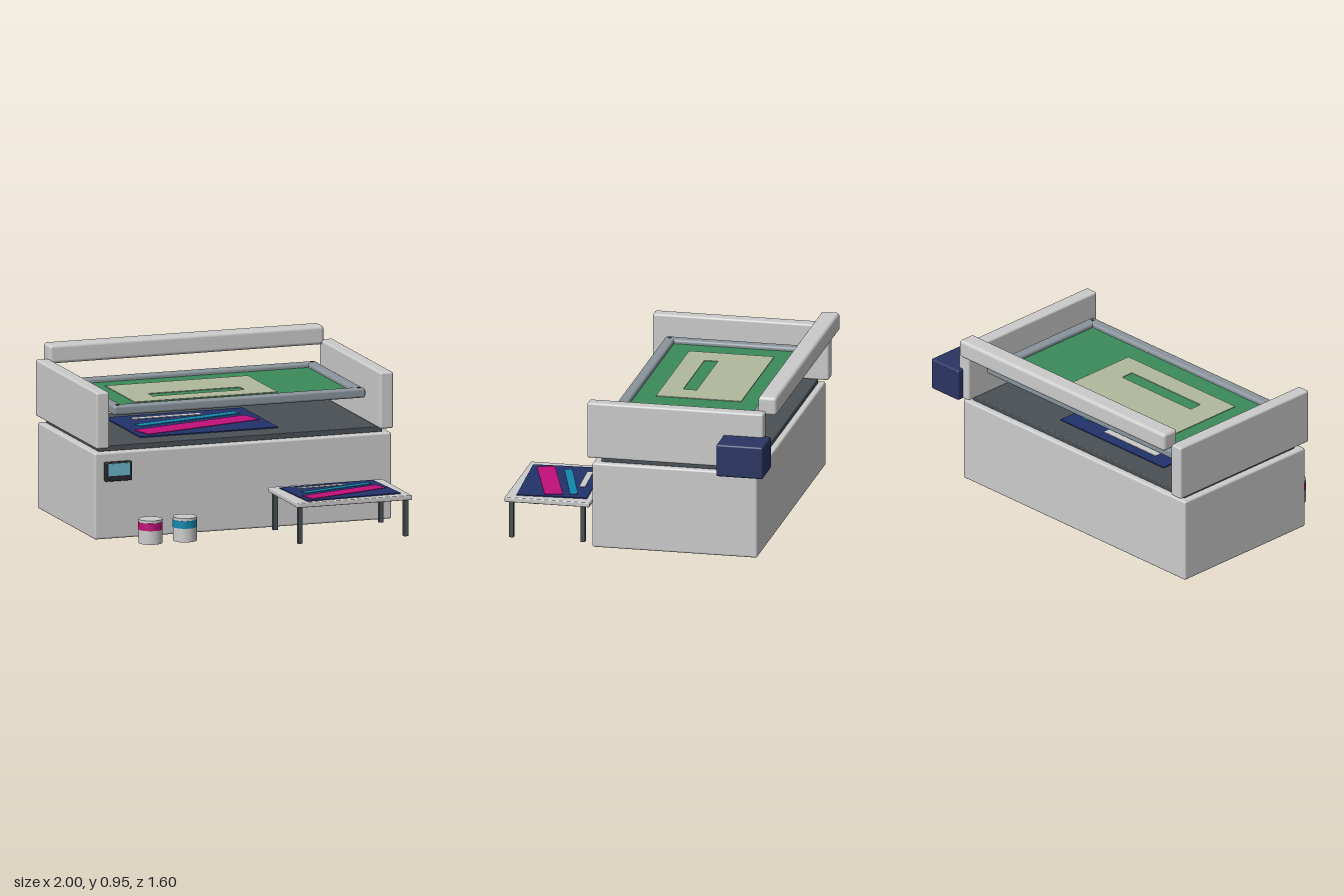
import * as THREE from 'three';
import { RoundedBoxGeometry } from 'three/addons/geometries/RoundedBoxGeometry.js';

const mat = (color) => new THREE.MeshStandardMaterial({ color });
const GREY = mat(0xcccccc), DARK = mat(0x4a5055), FRAME = mat(0x8a949b), BLACK = mat(0x22272b);
const NAVY = mat(0x2a3563), CLOTH = mat(0x22336b), GREEN = mat(0x3a8a5a), STENCIL = mat(0xb0b99c);
const MAGENTA = mat(0xc0107a), CYAN = mat(0x1288ae), WHITE = mat(0xe4e4e4);
const SCREEN = mat(0x6ab4c8), RED = mat(0xc03a28), ORANGE = mat(0xd08a30);

function add(parent, name, geometry, material, x = 0, y = 0, z = 0) {
  const mesh = new THREE.Mesh(geometry, material);
  mesh.name = name;
  mesh.position.set(x, y, z);
  parent.add(mesh);
  return mesh;
}

// Box given by its extents on each axis, with optional rounded edges
function box(parent, name, material, [x0, x1], [y0, y1], [z0, z1], r = 0) {
  const s = [x1 - x0, y1 - y0, z1 - z0];
  const geo = r ? new RoundedBoxGeometry(...s, 3, r) : new THREE.BoxGeometry(...s);
  return add(parent, name, geo, material, (x0 + x1) / 2, (y0 + y1) / 2, (z0 + z1) / 2);
}

// Printed cloth: navy sheet with three coloured stripes
function printedCloth(name, scale, x, y, z, turn) {
  const g = new THREE.Group();
  g.name = name;
  add(g, 'clothSheet', new THREE.BoxGeometry(0.58 * scale, 0.006, 0.41 * scale), CLOTH, 0, 0.003, 0);
  const stripes = [
    ['magentaStripe', MAGENTA, 0, 0.06, 0.53, 0.105, 0.25],
    ['cyanStripe', CYAN, 0.005, -0.065, 0.47, 0.046, 0.235],
    ['whiteStripe', WHITE, -0.055, -0.143, 0.29, 0.035, 0],
  ];
  for (const [n, m, sx, sz, w, d, a] of stripes) {
    add(g, n, new THREE.BoxGeometry(w * scale, 0.003, d * scale), m, sx * scale, 0.0075, sz * scale)
      .rotation.y = a;
  }
  g.position.set(x, y, z);
  g.rotation.y = turn;
  return g;
}

function inkBucket(name, color, x, z) {
  const g = new THREE.Group();
  g.name = name;
  add(g, 'bucketBody', new THREE.CylinderGeometry(0.069, 0.069, 0.14, 32), WHITE, 0, 0.07, 0);
  add(g, 'bucketLabel', new THREE.CylinderGeometry(0.0705, 0.0705, 0.044, 32), color, 0, 0.102, 0);
  g.position.set(x, 0, z);
  return g;
}

export function createModel() {
  const model = new THREE.Group();
  model.name = 'screenPrintingPress';

  // Machine body
  box(model, 'base', GREY, [-1, 0.81], [0, 0.505], [-0.7, 0.27], 0.012);
  box(model, 'printBed', DARK, [-0.96, 0.77], [0.503, 0.535], [-0.665, 0.225], 0.005);
  box(model, 'rightSidePanel', GREY, [-1, -0.92], [0.535, 0.865], [-0.735, 0.3], 0.012);
  box(model, 'leftSidePanel', GREY, [0.73, 0.81], [0.535, 0.865], [-0.735, 0.3], 0.012);
  box(model, 'rearBeam', GREY, [-0.93, 0.745], [0.84, 0.95], [-0.8, -0.69], 0.02);

  // Screen frame with mesh and stencil
  const screen = new THREE.Group();
  screen.name = 'printScreen';
  model.add(screen);
  for (const z of [-0.65, 0.147]) {
    box(screen, 'frameRail', FRAME, [-0.86, 0.675], [0.705, 0.76], [z, z + 0.062], 0.014);
  }
  for (const x of [-0.86, 0.61]) {
    box(screen, 'frameSide', FRAME, [x, x + 0.064], [0.706, 0.759], [-0.649, 0.208], 0.014);
  }
  for (const x of [-0.828, 0.643]) for (const z of [-0.619, 0.178]) {
    add(screen, 'cornerScrew', new THREE.CylinderGeometry(0.011, 0.011, 0.006, 12), DARK, x, 0.76, z);
  }
  box(screen, 'screenMesh', GREEN, [-0.81, 0.62], [0.727, 0.735], [-0.6, 0.155]);
  const stencil = new THREE.Shape();
  stencil.moveTo(-0.67, -0.03).lineTo(0.2, -0.03).lineTo(0.2, 0.47).lineTo(-0.67, 0.47).closePath();
  const slot = new THREE.Path();
  slot.moveTo(-0.515, 0.095).lineTo(-0.515, 0.175).lineTo(0.045, 0.175).lineTo(0.045, 0.095).closePath();
  stencil.holes.push(slot);
  add(screen, 'stencil', new THREE.ExtrudeGeometry(stencil, { depth: 0.004, bevelEnabled: false }),
    STENCIL, 0, 0.735, 0).rotation.x = -Math.PI / 2;

  // Cloth being printed
  model.add(printedCloth('bedCloth', 1.45, -0.23, 0.535, -0.23, 0));

  // Control box with two buttons
  box(model, 'controlBox', NAVY, [0.775, 0.997], [0.535, 0.727], [-0.775, -0.5], 0.012);
  [[0.82, ORANGE], [0.862, RED]].forEach(([x, m]) => {
    add(model, 'controlButton', new THREE.CylinderGeometry(0.015, 0.015, 0.016, 20), m, x, 0.675, -0.493)
      .rotation.x = Math.PI / 2;
  });

  // Touch panel on the front
  box(model, 'touchPanel', BLACK, [-0.945, -0.78], [0.34, 0.452], [0.268, 0.3], 0.008);
  box(model, 'touchScreen', SCREEN, [-0.927, -0.797], [0.373, 0.445], [0.295, 0.303]);

  // Side table with a finished print
  const table = new THREE.Group();
  table.name = 'sideTable';
  model.add(table);
  box(table, 'tableTop', GREY, [0.045, 0.745], [0.215, 0.243], [0.3, 0.8], 0.006);
  for (const x of [0.073, 0.717]) for (const z of [0.343, 0.763]) {
    box(table, 'tableLeg', DARK, [x - 0.013, x + 0.013], [0, 0.217], [z - 0.013, z + 0.013]);
  }
  table.add(printedCloth('tableCloth', 1, 0.395, 0.243, 0.55, 0.055));

  // Ink buckets
  model.add(inkBucket('magentaInkBucket', MAGENTA, -0.725, 0.45));
  model.add(inkBucket('cyanInkBucket', CYAN, -0.515, 0.45));
  return model;
}
